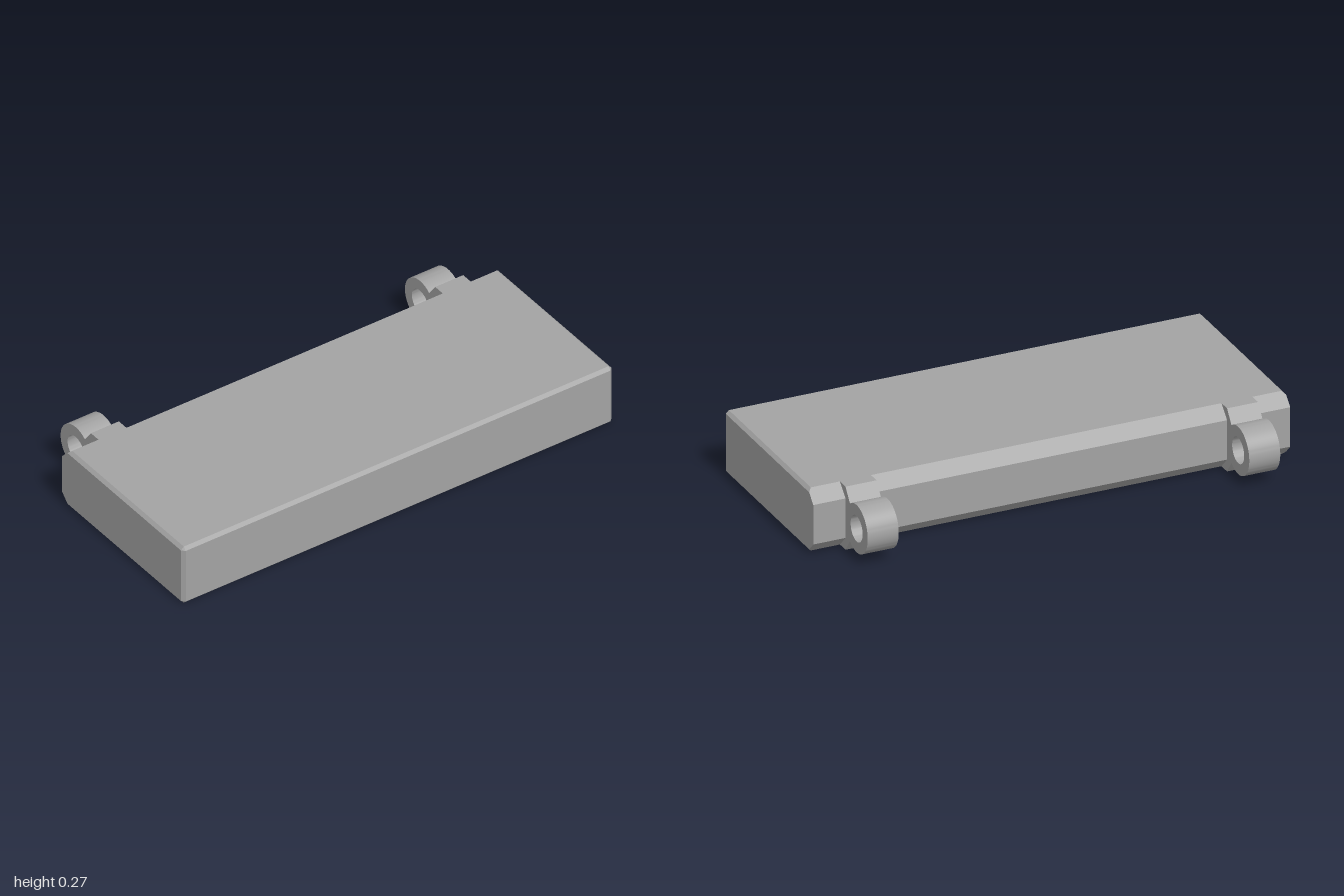
import * as THREE from 'three';
import { ConvexGeometry } from 'three/addons/geometries/ConvexGeometry.js';
import { toCreasedNormals } from 'three/addons/utils/BufferGeometryUtils.js';

const H = 0.267;        // slab height
const LEFT = -0.3;      // hinge-side face
const RIGHT = 0.5;
const CHAMFER = 0.05;   // large chamfer on the hinge side
const BEVEL = 0.013;    // fine bevel on the other edges

// Slab: hull of its corners, mirrored in y and z
function slabGeometry() {
  const points = [];
  const corner = [
    [LEFT, H - CHAMFER, 1],
    [LEFT + CHAMFER - BEVEL, H - BEVEL, 1],
    [LEFT + CHAMFER, H, 1 - BEVEL],
    [RIGHT - BEVEL, H - BEVEL, 1],
    [RIGHT - BEVEL, H, 1 - BEVEL],
    [RIGHT, H - BEVEL, 1 - BEVEL],
  ];
  for (const [x, y, z] of corner) {
    for (const s of [1, -1]) {
      points.push(new THREE.Vector3(x, y, s * z), new THREE.Vector3(x, H - y, s * z));
    }
  }
  return new ConvexGeometry(points);
}

// Hinge lug: ring with a flared arm that fills the chamfer notch
function lugGeometry(width) {
  const cx = -0.4, cy = H / 2, r = 0.1, open = Math.atan2(0.08, 0.06);
  const shape = new THREE.Shape();
  shape.absarc(cx, cy, r, open, 2 * Math.PI - open, false);
  shape.lineTo(LEFT, 0);
  shape.lineTo(LEFT + CHAMFER, 0);
  shape.lineTo(LEFT + CHAMFER, H);
  shape.lineTo(LEFT, H);
  shape.closePath();
  const hole = new THREE.Path();
  hole.absarc(cx, cy, 0.054, 0, 2 * Math.PI, true);
  shape.holes.push(hole);
  const geo = new THREE.ExtrudeGeometry(shape, { depth: width, bevelEnabled: false, curveSegments: 24 });
  geo.translate(0, 0, -width / 2);
  return toCreasedNormals(geo, 0.5);
}

export function createModel() {
  const group = new THREE.Group();
  group.name = 'hingedPanel';
  const material = new THREE.MeshStandardMaterial({ color: 0xa3a3a3 });

  const slab = new THREE.Mesh(slabGeometry(), material);
  slab.name = 'slab';
  group.add(slab);

  const lug = lugGeometry(0.13);
  for (const [name, z] of [['frontHingeLug', 0.8], ['backHingeLug', -0.8]]) {
    const mesh = new THREE.Mesh(lug, material);
    mesh.name = name;
    mesh.position.z = z;
    group.add(mesh);
  }
  return group;
}
